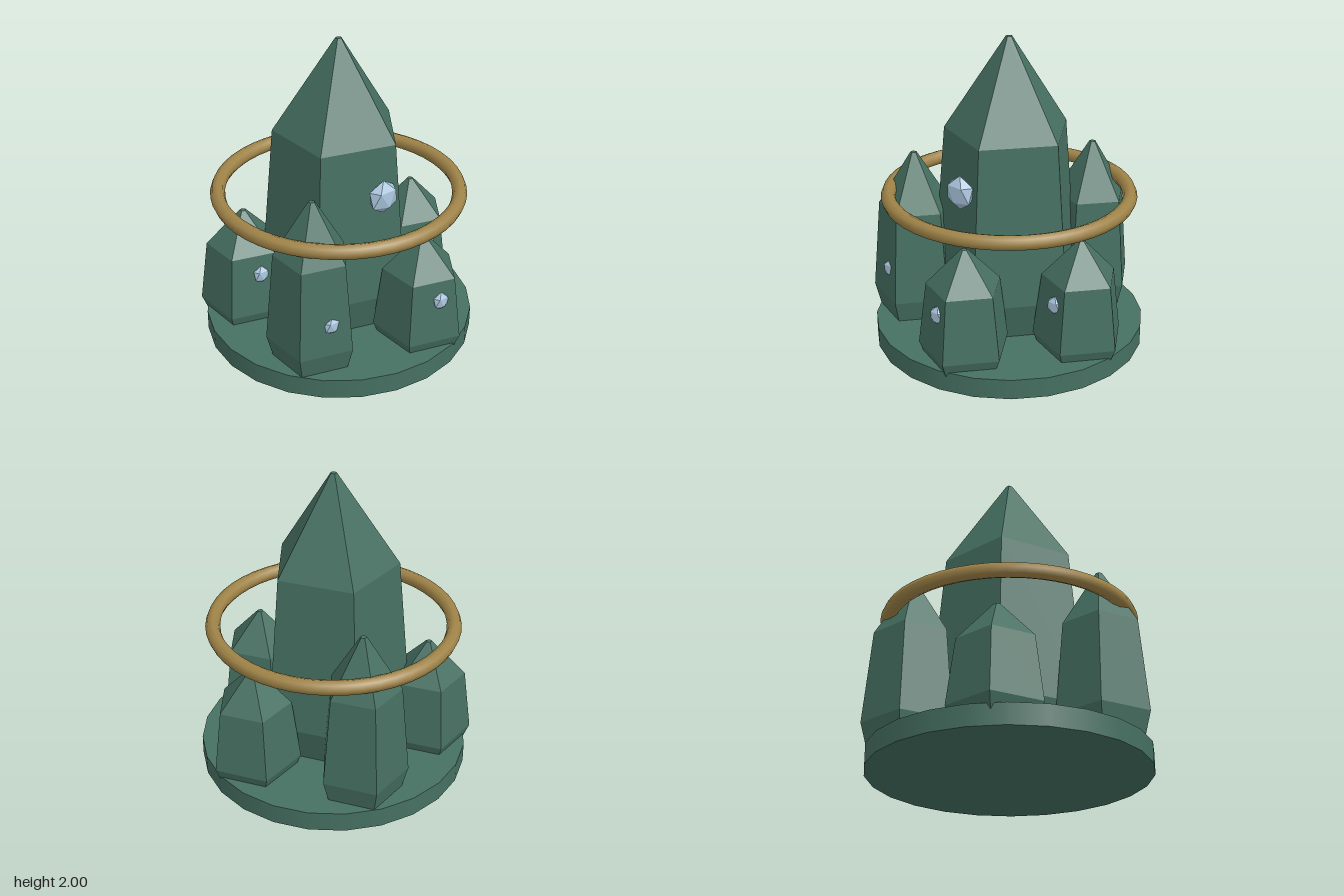
import * as THREE from 'three';

const CX = -0.02; // axis of the base, main crystal and ring

const flat = (geometry) => {
  const g = geometry.index ? geometry.toNonIndexed() : geometry;
  g.computeVertexNormals();
  return g;
};

// Five-sided crystal: narrow foot, wide waist, shoulder and blunt tip
function crystalGeometry(foot, waist, shoulder, tip, radius) {
  const profile = [
    [0, foot], [radius * 0.8, foot], [radius, waist],
    [radius * 0.82, shoulder], [0.02, tip], [0, tip],
  ].map(([r, y]) => new THREE.Vector2(r, y));
  return flat(new THREE.LatheGeometry(profile, 5).rotateY(Math.PI / 2));
}

// Flattened icosahedron standing on a corner
function gemGeometry(radius) {
  const g = new THREE.IcosahedronGeometry(radius, 0);
  g.rotateZ(Math.atan(2 / (1 + Math.sqrt(5))));
  g.rotateY(-Math.PI / 2);
  g.scale(1, 1, 0.6);
  return flat(g);
}

export function createModel() {
  const green = new THREE.MeshStandardMaterial({ color: 0x467062 });
  const gold = new THREE.MeshStandardMaterial({ color: 0xa08448 });
  const ice = new THREE.MeshStandardMaterial({ color: 0xa9c4dc });
  green.name = 'crystalGreen';
  gold.name = 'ringGold';
  ice.name = 'gemBlue';

  const model = new THREE.Group();
  model.name = 'crystalCluster';
  const add = (name, geometry, material, x, y, z) => {
    const mesh = new THREE.Mesh(geometry, material);
    mesh.name = name;
    mesh.position.set(x, y, z);
    model.add(mesh);
  };

  // Round base
  add('base', new THREE.CylinderGeometry(0.87, 0.87, 0.13, 24), green, CX, 0.065, 0);

  // Main crystal and its gem
  add('mainCrystal', crystalGeometry(0.07, 0.37, 1.4, 2, 0.5), green, CX, 0, 0);
  add('mainGem', gemGeometry(0.11), ice, CX, 1.105, 0.427);

  // Five side crystals, two of them tall, each with a small gem on its front
  const short = crystalGeometry(0.05, 0.19, 0.6, 0.84, 0.293);
  const tall = crystalGeometry(0.05, 0.27, 0.86, 1.22, 0.29);
  const smallGem = gemGeometry(0.061);
  for (let i = 0; i < 5; i++) {
    const angle = (i * Math.PI * 2) / 5;
    const x = CX + Math.cos(angle) * 0.61;
    const z = Math.sin(angle) * 0.61;
    const isTall = i === 2 || i === 4;
    add('sideCrystal' + (i + 1), isTall ? tall : short, green, x, 0, z);
    add('sideGem' + (i + 1), smallGem, ice, x - 0.02, 0.468, z + 0.21);
  }

  // Floating ring
  add('ring', new THREE.TorusGeometry(0.762, 0.047, 8, 48).rotateX(Math.PI / 2), gold, CX, 0.983, 0);

  return model;
}
